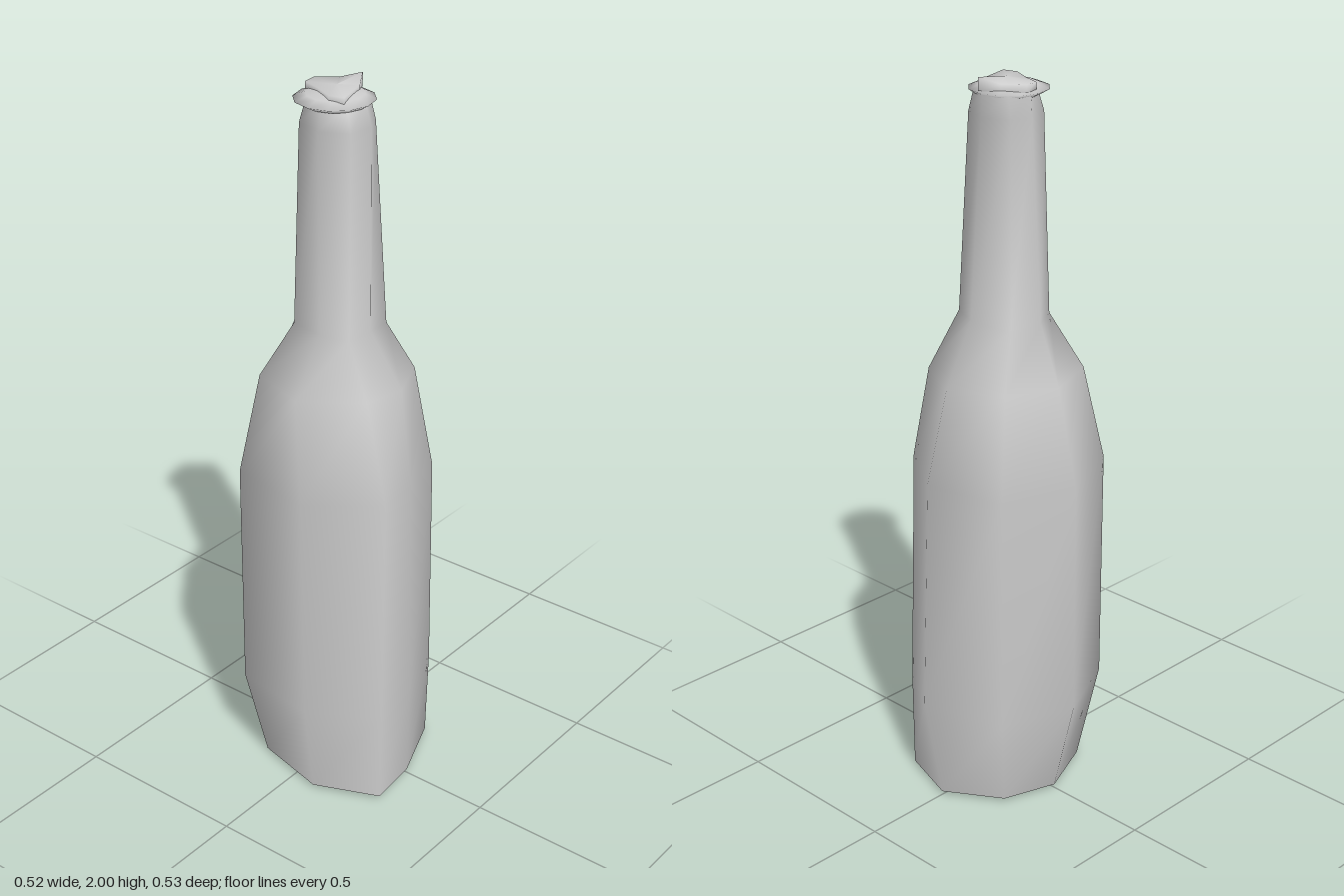
import * as THREE from 'three';

const material = new THREE.MeshStandardMaterial({ color: 0xcccccc, side: THREE.DoubleSide });

// Skin closed rings of [x, z] points stacked at given heights, smooth shaded.
function loft(name, rings) {
  const n = rings[0].points.length;
  const positions = rings.flatMap(({ y, points }) => points.flatMap(([x, z]) => [x, y, z]));
  const index = [];
  for (let r = 0; r < rings.length - 1; r++) {
    for (let i = 0; i < n; i++) {
      const a = r * n + i, b = r * n + (i + 1) % n;
      index.push(a, a + n, b, b, a + n, b + n);
    }
  }
  const geometry = new THREE.BufferGeometry();
  geometry.setAttribute('position', new THREE.Float32BufferAttribute(positions, 3));
  geometry.setIndex(index);
  geometry.computeVertexNormals();
  const mesh = new THREE.Mesh(geometry, material);
  mesh.name = name;
  return mesh;
}

const ring = (y, ...points) => ({ y, points });
const pointRing = (y, x, z, n) => ({ y, points: Array(n).fill([x, z]) });

// Slightly wobbly circle for the cap
const circle = (y, cx, cz, radius, n = 12) => ring(y, ...Array.from({ length: n }, (_, i) => {
  const a = (i / n) * Math.PI * 2;
  return [cx + Math.sin(a) * radius, cz - Math.cos(a) * radius];
}));

export function createModel() {
  const group = new THREE.Group();
  group.name = 'bottle';

  // Irregular eight-sided sections, starting at the back and passing the left side
  const foot = ring(0.01, [0, -0.2], [0.15, -0.15], [0.245, 0], [0.19, 0.17], [0, 0.245], [-0.145, 0.258], [-0.22, 0.08], [-0.17, -0.13]);
  const hip = ring(0.28, [-0.01, -0.26], [0.2, -0.19], [0.26, 0.05], [0.18, 0.185], [0, 0.25], [-0.145, 0.262], [-0.255, 0.08], [-0.22, -0.165]);
  const waist = ring(0.94, [0, -0.265], [0.2, -0.19], [0.245, 0.04], [0.13, 0.215], [0, 0.24], [-0.13, 0.255], [-0.264, 0.08], [-0.22, -0.165]);
  const shoulder = ring(1.21, [0, -0.2], [0.15, -0.15], [0.21, 0], [0.13, 0.15], [0, 0.205], [-0.12, 0.185], [-0.22, 0.03], [-0.16, -0.14]);
  const neckBase = ring(1.36, [-0.02, -0.115], [0.075, -0.1], [0.09, 0.03], [0.05, 0.115], [-0.02, 0.118], [-0.1, 0.11], [-0.12, 0.03], [-0.1, -0.07]);
  const neckTop = ring(1.9, [-0.01, -0.09], [0.05, -0.075], [0.08, 0], [0.05, 0.075], [0, 0.1], [-0.075, 0.095], [-0.11, 0.02], [-0.085, -0.06]);
  const lip = ring(1.96, [-0.01, -0.085], [0.05, -0.065], [0.075, 0], [0.045, 0.06], [0, 0.08], [-0.06, 0.07], [-0.085, 0.01], [-0.07, -0.05]);

  group.add(loft('body', [foot, hip, waist, shoulder, neckBase, neckTop, lip]));

  // Nearly flat underside
  group.add(loft('base', [pointRing(0, 0, 0.02, 8), foot]));

  // Thin flared rim around the mouth
  group.add(loft('rim', [
    circle(1.945, -0.02, 0.003, 0.08),
    circle(1.96, -0.023, 0.003, 0.105),
    circle(1.972, -0.02, 0.003, 0.075),
    pointRing(1.985, -0.01, 0, 12),
  ]));

  // Uneven stopper, tilted up at one side
  const crown = ring(1.965, [-0.03, -0.085], [0.01, -0.09], [0.05, -0.04], [0.08, 0.01], [0.03, 0.04], [-0.07, 0.07], [-0.08, 0.03], [-0.05, -0.03]);
  const stopper = loft('stopper', [crown, { ...crown, y: 1.985 }, pointRing(1.99, -0.01, 0, 8)]);
  const position = stopper.geometry.attributes.position;
  position.setY(11, 2);
  stopper.geometry.computeVertexNormals();
  group.add(stopper);

  return group;
}
